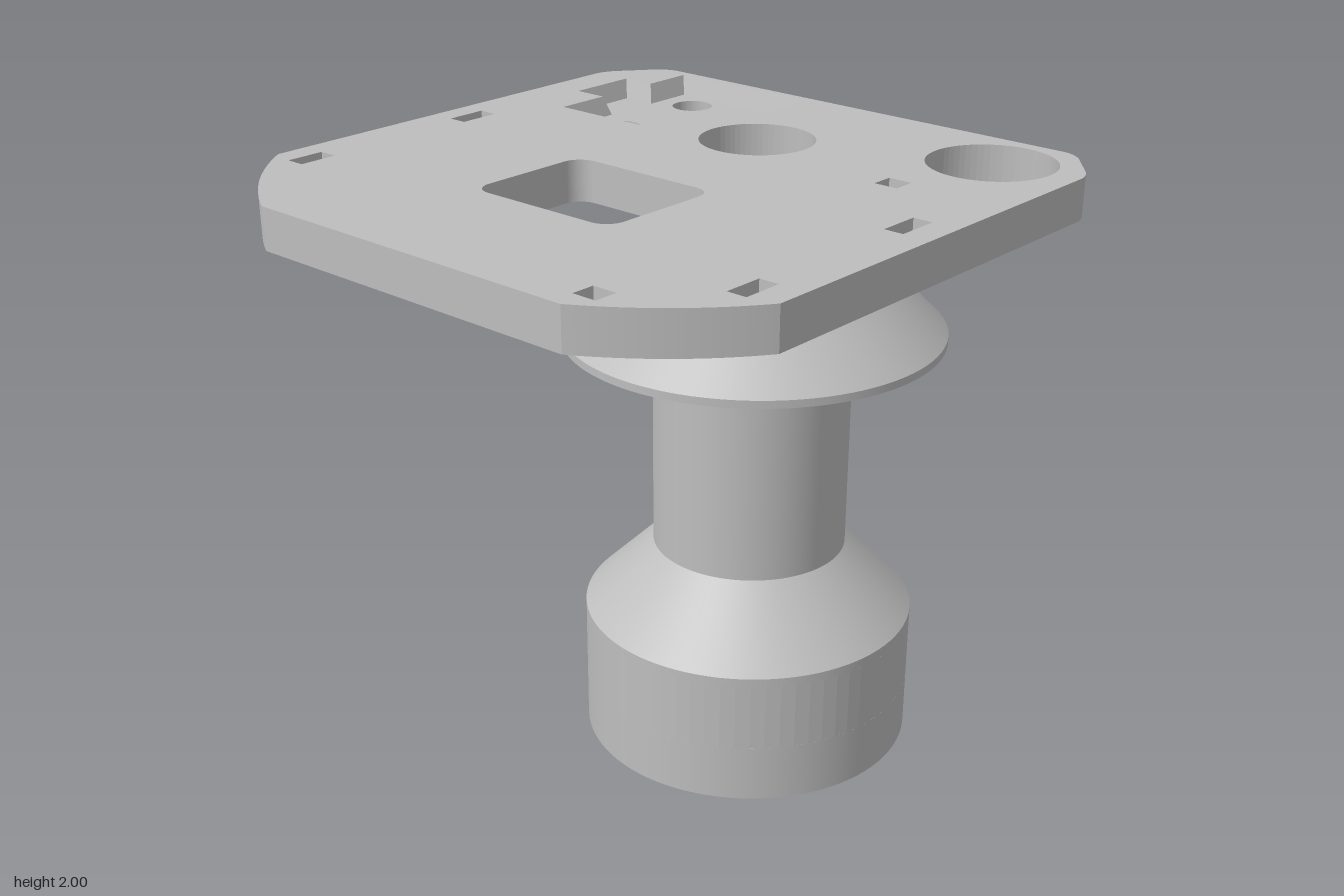
import * as THREE from 'three';
import { mergeGeometries } from 'three/addons/utils/BufferGeometryUtils.js';

const grey = new THREE.MeshStandardMaterial({ color: 0xbebebe });
grey.name = 'plain grey';
const AXIS = 0.395; // x of the column's centre line
const SEG = 96;

// Turned part with sharp edges: one band for each pair of profile points
function turned(points, rows = 1) {
  const bands = [];
  for (let i = 0; i < points.length - 1; i++) {
    const a = new THREE.Vector2(...points[i]), b = new THREE.Vector2(...points[i + 1]);
    const line = [];
    for (let k = 0; k <= rows; k++) line.push(a.clone().lerp(b, k / rows));
    bands.push(new THREE.LatheGeometry(line, SEG));
  }
  return mergeGeometries(bands).translate(AXIS, 0, 0);
}

// Horizontal slab: shapes are drawn with (x, -z) and raised from y0 to y1
function slab(shape, y0, y1) {
  return new THREE.ExtrudeGeometry(shape, { depth: y1 - y0, bevelEnabled: false, curveSegments: 32 })
    .rotateX(-Math.PI / 2).translate(0, y0, 0);
}

function polygon(points) {
  return new THREE.Path(points.map(([x, z]) => new THREE.Vector2(x, -z)));
}
function rect(x0, x1, z0, z1) {
  return polygon([[x0, z0], [x1, z0], [x1, z1], [x0, z1]]);
}
function circle(x, z, r) {
  return new THREE.Path().absarc(x, -z, r, 0, Math.PI * 2);
}
function roundedRect(x0, x1, z0, z1, r) {
  const p = new THREE.Path();
  p.absarc(x1 - r, -z0 - r, r, 0, Math.PI / 2);
  p.absarc(x0 + r, -z0 - r, r, Math.PI / 2, Math.PI);
  p.absarc(x0 + r, -z1 + r, r, Math.PI, Math.PI * 1.5);
  p.absarc(x1 - r, -z1 + r, r, Math.PI * 1.5, Math.PI * 2);
  p.closePath();
  return p;
}

// Plate outline with big curved corners on one side and small ones on the other
function plateShape(holes) {
  const s = new THREE.Shape();
  s.moveTo(-1, -0.56);
  s.quadraticCurveTo(-0.87, -0.79, -0.66, -0.935);
  s.lineTo(0.68, -0.935);
  s.quadraticCurveTo(0.72, -0.93, 0.75, -0.905);
  s.lineTo(0.85, -0.825);
  s.quadraticCurveTo(0.885, -0.79, 0.885, -0.75);
  s.lineTo(0.885, 0.75);
  s.quadraticCurveTo(0.885, 0.79, 0.85, 0.825);
  s.lineTo(0.75, 0.905);
  s.quadraticCurveTo(0.72, 0.93, 0.68, 0.935);
  s.lineTo(-0.66, 0.935);
  s.quadraticCurveTo(-0.87, 0.79, -1, 0.56);
  s.closePath();
  s.holes = holes;
  return s;
}

// Outline of the stepped pocket, drawn in by d on every side
function pocketLoop(d) {
  return [
    [0.28 + d, -0.18 - d], [0.855 - d, -0.18 - d], [0.855 - d, -0.70 + d], [0.69 - d, -0.70 + d],
    [0.69 - d, -0.81 + d], [0.46 + d, -0.81 + d], [0.46 + d, -0.70 + d], [0.28 + d, -0.70 + d],
  ];
}

// Sloping wall between the pocket's rim and its floor
function pocketWall(yTop, yFloor, inset) {
  const outer = pocketLoop(0), inner = pocketLoop(inset), pos = [];
  outer.forEach((o, i) => {
    const j = (i + 1) % outer.length;
    const A = [o[0], yTop, o[1]], B = [outer[j][0], yTop, outer[j][1]];
    const C = [inner[j][0], yFloor, inner[j][1]], D = [inner[i][0], yFloor, inner[i][1]];
    pos.push(...A, ...B, ...C, ...A, ...C, ...D);
  });
  const g = new THREE.BufferGeometry();
  g.setAttribute('position', new THREE.Float32BufferAttribute(pos, 3));
  g.computeVertexNormals();
  return g;
}

export function createModel() {
  const model = new THREE.Group();
  const add = (name, geometry, parent = model) => {
    const mesh = new THREE.Mesh(geometry, grey);
    mesh.name = name;
    parent.add(mesh);
  };

  // Hollow base with a window in its side
  add('baseRing', turned([[0.45, 0], [0.54, 0], [0.54, 0.19], [0.45, 0.19], [0.45, 0]]));
  const half = 0.162, a = Math.asin(half / 0.54), b = Math.asin(half / 0.45);
  const wall = new THREE.Shape();
  wall.absarc(0, 0, 0.54, a, Math.PI * 2 - a);
  wall.absarc(0, 0, 0.45, Math.PI * 2 - b, b, true);
  wall.closePath();
  add('windowedWall', slab(wall, 0.19, 0.415).translate(AXIS, 0, 0));

  // Shoulder, column and skirt flange
  add('column', turned([
    [0.45, 0.415], [0.54, 0.415], [0.54, 0.445], [0.315, 0.67], [0.315, 1.385],
    [0.605, 1.385], [0.605, 1.41], [0.315, 1.70], [0.315, 1.75],
  ]));
  add('bore', turned([[0.175, 1.875], [0.175, 0.625], [0.45, 0.35]]));

  // Flare under the plate, cut straight where the channel passes
  const flare = turned([[0.315, 1.75], [0.44, 1.875]], 10);
  const p = flare.attributes.position;
  for (let i = 0; i < p.count; i++) p.setX(i, Math.max(p.getX(i), 0.06));
  flare.computeVertexNormals();
  add('flare', flare);

  // Plate in three layers: channel below, pocket above
  const plate = new THREE.Group();
  plate.name = 'plate';
  model.add(plate);
  const through = () => [
    roundedRect(-0.515, -0.1, -0.26, 0.25, 0.06),
    circle(AXIS, 0, 0.176), circle(0.65, 0.66, 0.192),
    rect(-0.68, -0.56, -0.86, -0.8), rect(-0.68, -0.56, 0.79, 0.85),
    rect(-0.93, -0.86, 0.53, 0.605), rect(0.26, 0.33, 0.53, 0.605),
  ];
  const slots = () => [rect(-0.055, 0.075, -0.86, -0.8), rect(-0.055, 0.075, 0.79, 0.85)];
  const screws = () => [circle(0.395, -0.56, 0.065), circle(0.74, -0.56, 0.065)];
  const channel = rect(-0.055, 0.06, -0.86, 0.85);
  add('channelLayer', slab(plateShape([...through(), ...screws(), channel]), 1.875, 1.91), plate);
  add('middleLayer', slab(plateShape([...through(), ...slots(), ...screws(),
    rect(0.31, 0.825, -0.285, -0.215)]), 1.91, 1.94), plate);
  add('pocketLayer', slab(plateShape([...through(), ...slots(), polygon(pocketLoop(0))]), 1.94, 2), plate);
  add('pocketWall', pocketWall(2, 1.94, 0.02), plate);

  return model;
}
